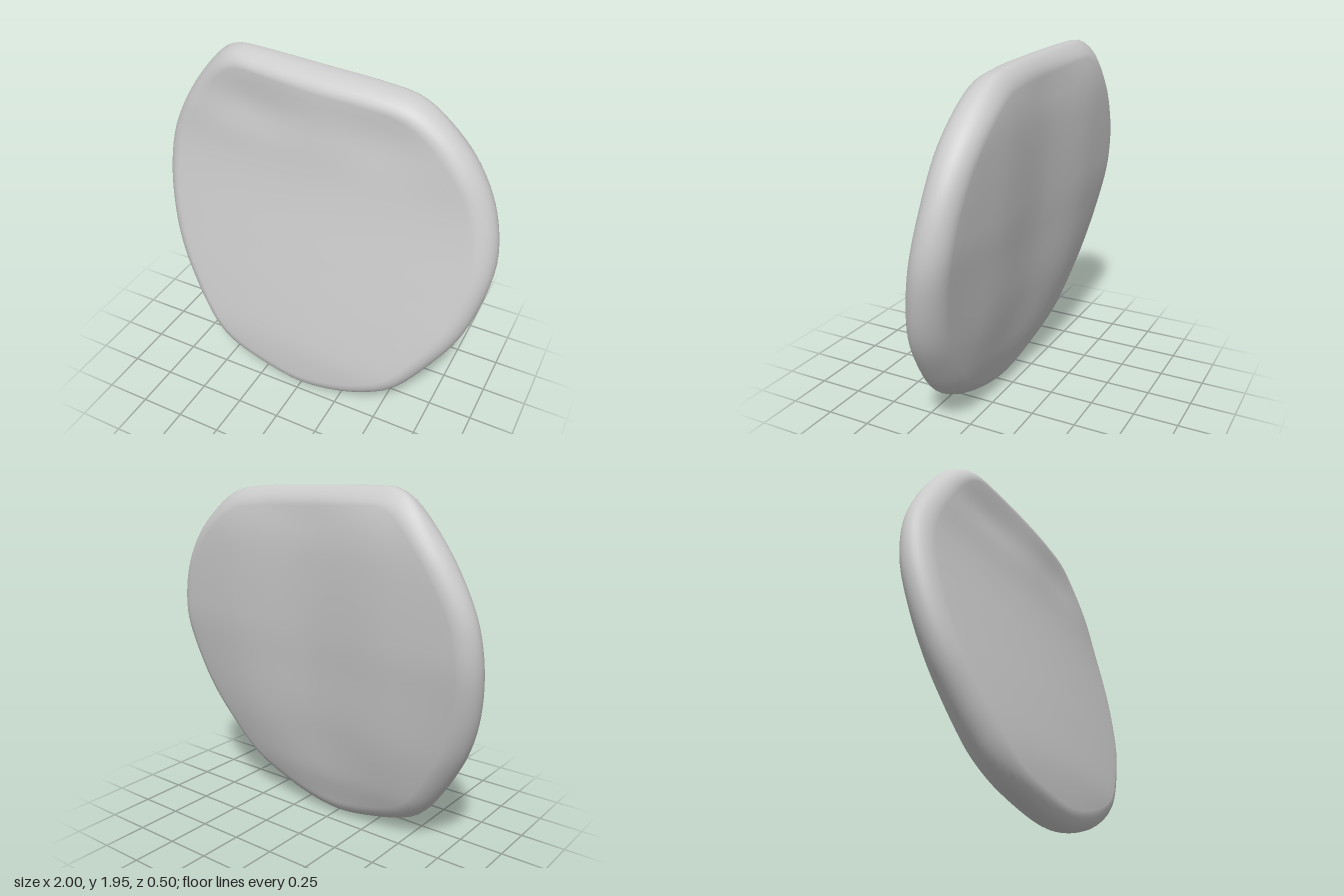
import * as THREE from 'three';
import { mergeVertices } from 'three/addons/utils/BufferGeometryUtils.js';

const { lerp, clamp, smoothstep } = THREE.MathUtils;

// Smooth lookup through [y, value] pairs
function profile(points) {
  return (y) => {
    const n = points.length;
    let i = 0;
    while (i < n - 2 && y > points[i + 1][0]) i++;
    const slope = (k) => {
      const a = points[Math.max(k - 1, 0)], b = points[Math.min(k + 1, n - 1)];
      return (b[1] - a[1]) / (b[0] - a[0]);
    };
    const [y0, v0] = points[i], [y1, v1] = points[i + 1];
    const h = y1 - y0, t = clamp((y - y0) / h, 0, 1), u = 1 - t;
    return v0 * (1 + 2 * t) * u * u + slope(i) * h * t * u * u
      + v1 * t * t * (3 - 2 * t) - slope(i + 1) * h * t * t * u;
  };
}

// Depth of the front along the centre line and of the back along its two ridges
const frontLine = profile([[0, 0.25], [0.13, 0.247], [0.3, 0.238], [0.6, 0.187], [0.9, 0.127],
  [1.2, 0.067], [1.4, 0.036], [1.6, 0.024], [1.8, 0.013], [1.95, 0]]);
const backLine = profile([[0, 0.06], [0.13, 0.025], [0.3, -0.045], [0.6, -0.13], [1, -0.19],
  [1.2, -0.215], [1.5, -0.24], [1.7, -0.245], [1.85, -0.225], [1.95, -0.18]]);

// Front face: gently arched, with two broad shallow hollows below the top lip
function frontZ(x, y) {
  const hollow = (cx, height) =>
    0.025 * Math.exp(-(((x - cx) / 0.34) ** 2) - ((y - 1.68) / height) ** 2);
  return frontLine(y) - 0.065 * x * x + 0.03 * x - hollow(-0.38, 0.14) - hollow(0.38, 0.18);
}

// Back face: two soft ridges either side of an upright groove, easing in at the sides
function backZ(x, y) {
  const side = lerp(0.1, 0.035, smoothstep(y, 0.4, 1.2)) * x * x;
  const groove = 0.035 * (1 - smoothstep(Math.abs(x), 0, 0.55)) * smoothstep(y, 0.1, 0.6)
    * (1 - 0.7 * smoothstep(y, 1.75, 1.95));
  return backLine(y) + side + 0.02 * x + groove;
}

// Outline, clockwise from the upper corner
const outline = new THREE.CatmullRomCurve3([
  [-0.52, 1.945], [-0.42, 1.947], [0, 1.928], [0.3, 1.907], [0.5, 1.87], [0.7, 1.735],
  [0.85, 1.56], [0.95, 1.35], [0.995, 1.1], [0.96, 0.85], [0.88, 0.62], [0.74, 0.4],
  [0.6, 0.225], [0.5, 0.15], [0.3, 0.06], [0, 0.003], [-0.3, 0.05], [-0.5, 0.115],
  [-0.6, 0.19], [-0.69, 0.3], [-0.79, 0.45], [-0.89, 0.63], [-0.965, 0.85], [-1, 1.12],
  [-0.975, 1.35], [-0.9, 1.53], [-0.78, 1.72], [-0.62, 1.9],
].map(([x, y]) => new THREE.Vector3(x, y, 0)), true, 'centripetal');

function slabGeometry() {
  const SEG = 120, FACE = 14, ROUND = 8, R = 0.1, CY = 1.0;
  const edge = outline.getSpacedPoints(SEG).slice(0, SEG);

  // Rings run from the front centre, round the rim, to the back centre
  const half = [];
  for (let i = 0; i < FACE; i++) half.push({ flat: i / FACE, angle: 0 });
  for (let i = 0; i <= ROUND; i++) half.push({ flat: 1, angle: (i / ROUND) * Math.PI / 2 });
  const rings = [
    ...half.map((r) => ({ ...r, face: frontZ })),
    ...half.slice(0, -1).reverse().map((r) => ({ ...r, face: backZ })),
  ];

  const pos = [], index = [];
  for (const { flat, angle, face } of rings) {
    for (const p of edge) {
      const radius = Math.hypot(p.x, p.y - CY);
      const s = (flat * (radius - R) + R * Math.sin(angle)) / radius;
      const x = p.x * s, y = CY + (p.y - CY) * s;
      // The crest of the rim leans back along the top
      const crest = lerp(backZ(x, y), frontZ(x, y), lerp(0.5, 0.25, smoothstep(y, 1.7, 1.95)));
      pos.push(x, y, lerp(crest, face(x, y), Math.cos(angle)));
    }
  }
  // The first and last rings collapse to the face centres
  for (let i = 0; i < rings.length - 1; i++) {
    for (let j = 0; j < SEG; j++) {
      const k = (j + 1) % SEG;
      const a = i * SEG + j, b = i * SEG + k, c = a + SEG, d = b + SEG;
      if (i < rings.length - 2) index.push(b, d, c);
      if (i > 0) index.push(a, b, c);
    }
  }
  const geometry = new THREE.BufferGeometry();
  geometry.setAttribute('position', new THREE.Float32BufferAttribute(pos, 3));
  geometry.setIndex(index);
  const merged = mergeVertices(geometry, 1e-5);
  merged.computeVertexNormals();
  return merged;
}

export function createModel() {
  const group = new THREE.Group();
  group.name = 'cushion';
  const pad = new THREE.Mesh(slabGeometry(), new THREE.MeshStandardMaterial({ color: 0xcccccc }));
  pad.name = 'curvedPad';
  group.add(pad);
  return group;
}
